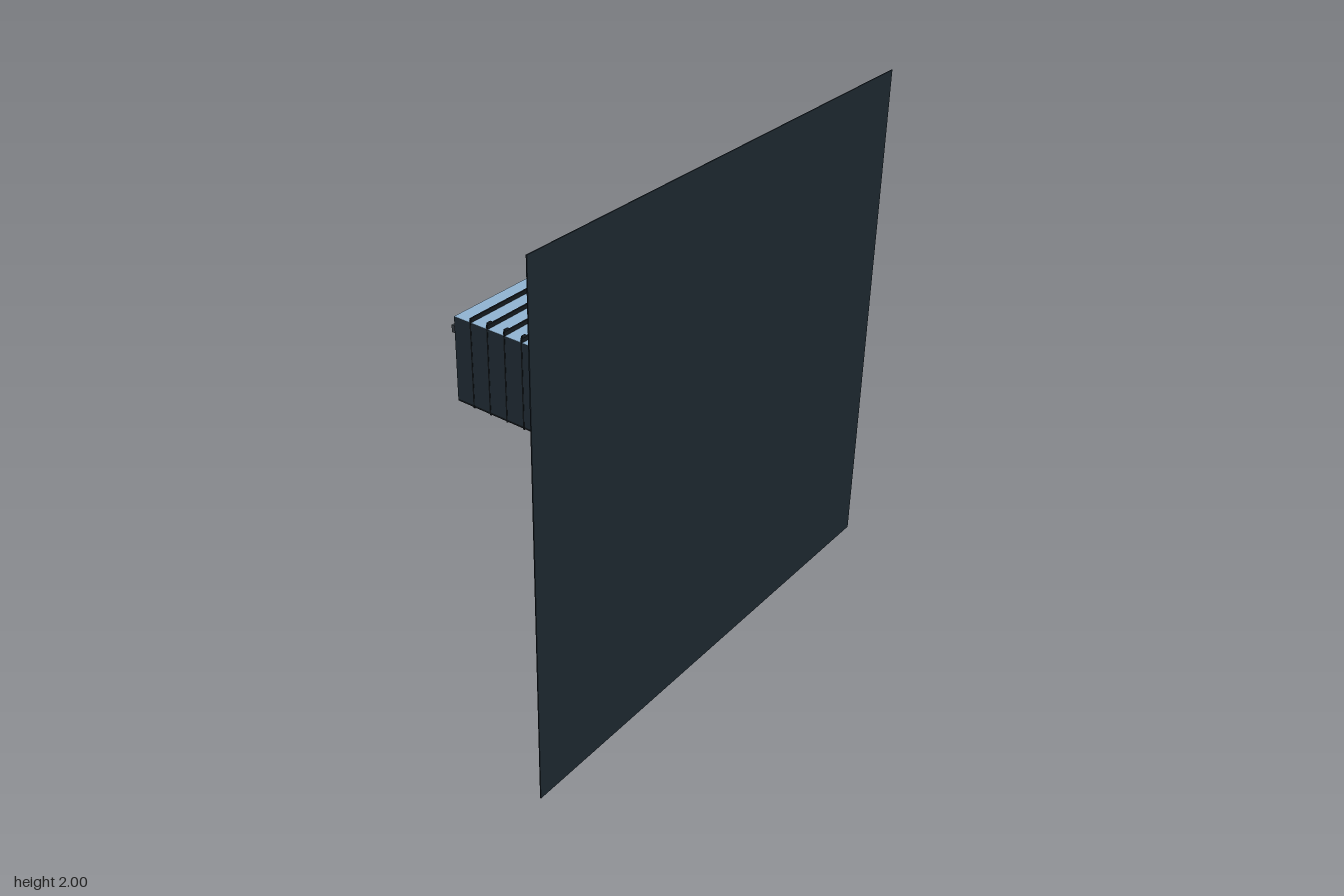
import * as THREE from 'three';

const mat = (color) => new THREE.MeshStandardMaterial({ color });
const M = {
  panel: mat(0x1b252d), side: mat(0x24313a), top: mat(0x8fb2d0), black: mat(0x12171b),
  board: mat(0x474d53), blue: mat(0x3585d0), grey: mat(0x3a4148), pale: mat(0x9dbdd8),
  green: mat(0x24382c), yellow: mat(0xc9a03a), brown: mat(0x2a2826),
};

export function createModel() {
  const root = new THREE.Group();

  const add = (name, geometry, material, x, y, z) => {
    const mesh = new THREE.Mesh(geometry, material);
    mesh.name = name;
    mesh.position.set(x, y, z);
    root.add(mesh);
    return mesh;
  };
  const box = (name, material, w, h, d, x, y, z) =>
    add(name, new THREE.BoxGeometry(w, h, d), material, x, y, z);

  const roundRect = (target, w, h, r) => {
    const x = w / 2, y = h / 2;
    target.moveTo(-x + r, -y);
    target.lineTo(x - r, -y);
    target.quadraticCurveTo(x, -y, x, -y + r);
    target.lineTo(x, y - r);
    target.quadraticCurveTo(x, y, x - r, y);
    target.lineTo(-x + r, y);
    target.quadraticCurveTo(-x, y, -x, y - r);
    target.lineTo(-x, -y + r);
    target.quadraticCurveTo(-x, -y, -x + r, -y);
    return target;
  };
  const frame = (name, w, h, r, depth, z) => {
    const shape = roundRect(new THREE.Shape(), w, h, r);
    shape.holes.push(roundRect(new THREE.Path(), 0.5, 0.35, 0.01));
    add(name, new THREE.ExtrudeGeometry(shape, { depth, bevelEnabled: false, curveSegments: 6 }),
      M.black, 0, 1, z);
  };

  // Large wall panel
  box('wallPanel', M.panel, 2, 2, 0.004, 0, 1, 0.543);

  // Mounting frame: wide flange and narrower inner step
  frame('mountingFlange', 0.645, 0.495, 0.07, 0.018, 0.523);
  frame('flangeStep', 0.55, 0.41, 0.04, 0.016, 0.508);

  // Housing shell, open at the back
  const zc = 0.03, len = 1.02;
  for (const s of [-1, 1]) box('sideWall', M.side, 0.01, 0.356, len, s * 0.25, 1.002, zc);
  box('topWall', M.top, 0.51, 0.008, len, 0, 1.177, zc);
  box('bottomWall', M.black, 0.51, 0.008, len, 0, 0.828, zc);

  // Twelve ribs around the housing, with a small clip on most of them
  for (let i = 0; i < 12; i++) {
    const z = 0.503 - i * 0.082;
    box('topRib', M.black, 0.51, 0.018, 0.007, 0, 1.189, z);
    box('bottomRib', M.black, 0.51, 0.005, 0.007, 0, 0.822, z);
    for (const s of [-1, 1]) box('sideSeam', M.black, 0.002, 0.356, 0.006, s * 0.255, 1.002, z);
    if (i < 11) box('ribClip', M.black, 0.02, 0.012, 0.012, -0.23, 1.191, z - 0.009);
  }

  // Thumb screws on the flange corners
  for (const x of [-0.298, 0.298]) {
    for (const y of [0.828, 1.183]) {
      const shaft = add('screwShaft', new THREE.CylinderGeometry(0.005, 0.005, 0.05, 10), M.black, x, y, 0.5);
      const head = add('screwHead', new THREE.CylinderGeometry(0.013, 0.013, 0.016, 14), M.green, x, y, 0.473);
      const collar = add('screwCollar', new THREE.CylinderGeometry(0.022, 0.022, 0.01, 14), M.black, x, y, 0.519);
      for (const part of [shaft, head, collar]) part.rotation.x = Math.PI / 2;
    }
  }

  // Small tag above the frame
  box('tagPlate', M.brown, 0.1, 0.075, 0.003, 0, 1.283, 0.538);
  box('tagLip', M.brown, 0.1, 0.003, 0.014, 0, 1.32, 0.531);

  // Recessed rear board
  box('rearBoard', M.board, 0.49, 0.342, 0.008, 0, 1.002, -0.45);
  box('screenRim', M.grey, 0.19, 0.16, 0.034, 0.1, 0.93, -0.469);
  box('bluePlate', M.blue, 0.17, 0.14, 0.003, 0.1, 0.93, -0.4875);
  for (const y of [0.91, 0.995, 1.08]) box('sideTerminal', M.pale, 0.05, 0.04, 0.03, 0.215, y, -0.465);

  // Connectors on the rear board
  box('upperConnector', M.grey, 0.045, 0.03, 0.06, 0.12, 1.115, -0.482);
  box('cornerConnector', M.black, 0.05, 0.05, 0.03, -0.205, 1.115, -0.468);
  box('cornerPlug', M.grey, 0.03, 0.03, 0.055, -0.225, 1.115, -0.482);
  box('lowerConnector', M.black, 0.06, 0.055, 0.035, -0.19, 0.96, -0.468);
  box('yellowContact', M.yellow, 0.05, 0.01, 0.03, -0.2, 0.885, -0.467);
  box('lowerStrip', M.black, 0.06, 0.012, 0.035, -0.18, 0.85, -0.47);
  box('lowerPin', M.black, 0.006, 0.006, 0.06, -0.2, 0.842, -0.482);

  // Row of four tilted tabs
  for (let i = 0; i < 4; i++) {
    const tab = box('tiltedTab', M.black, 0.08, 0.042, 0.003, -0.135, 0.895 + i * 0.052, -0.492 - i * 0.0155);
    tab.rotation.x = -0.29;
  }
  return root;
}
